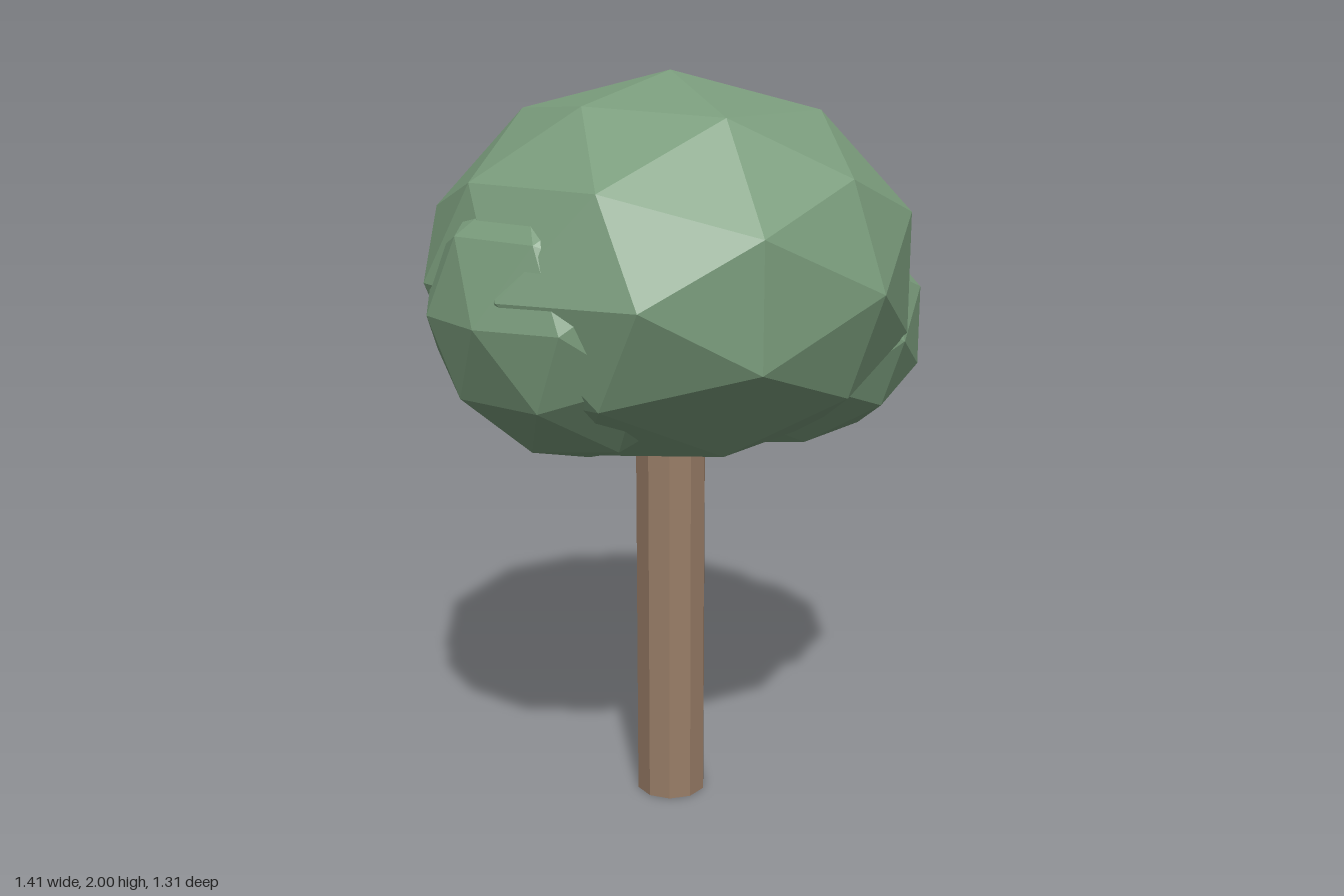
import * as THREE from 'three';

const foliage = new THREE.MeshStandardMaterial({ color: 0x7a9c7c, flatShading: true });
foliage.name = 'leaf green';
const bark = new THREE.MeshStandardMaterial({ color: 0x997d67, flatShading: true });
bark.name = 'bark brown';

// One faceted, slightly squashed clump of leaves
function clump(name, centre, radii) {
  const geometry = new THREE.IcosahedronGeometry(1, 1);
  geometry.scale(...radii);
  const mesh = new THREE.Mesh(geometry, foliage);
  mesh.name = name;
  mesh.position.set(...centre);
  return mesh;
}

export function createModel() {
  const tree = new THREE.Group();
  tree.name = 'tree';

  // Straight ten-sided trunk, its top hidden in the crown
  const height = 1.1;
  const trunk = new THREE.Mesh(new THREE.CylinderGeometry(0.097, 0.097, height, 10), bark);
  trunk.name = 'trunk';
  trunk.rotation.y = Math.PI / 2;
  trunk.position.set(-0.03, height / 2, 0);
  tree.add(trunk);

  // Large crown with a smaller clump on each side
  tree.add(
    clump('crown', [-0.03, 1.49, 0], [0.655, 0.51, 0.655]),
    clump('leftClump', [0.27, 1.315, 0.105], [0.435, 0.345, 0.435]),
    clump('rightClump', [-0.3, 1.425, -0.055], [0.41, 0.4, 0.414]),
  );
  return tree;
}
